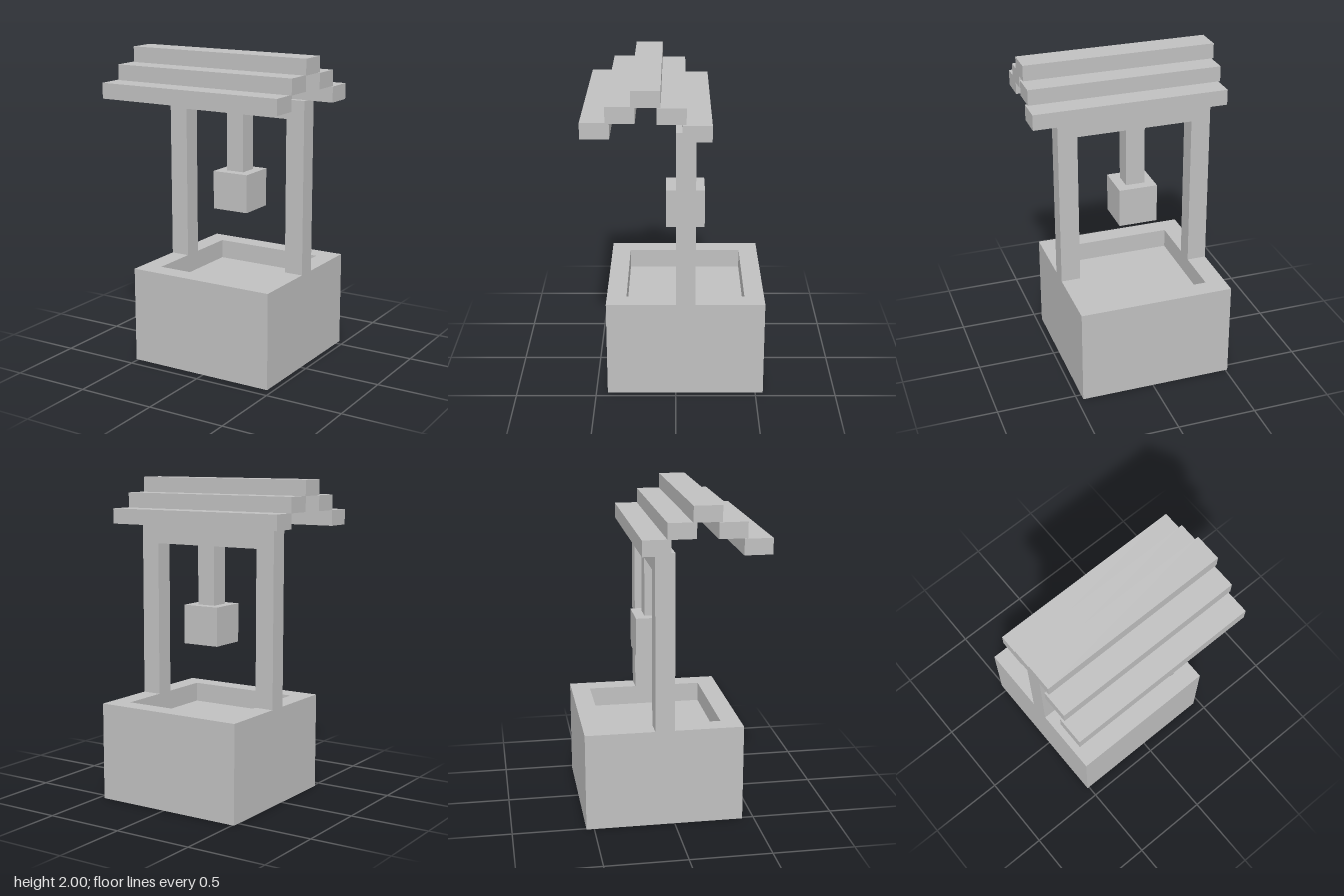
import * as THREE from 'three';

export function createModel() {
  const model = new THREE.Group();
  model.name = 'well';
  const grey = new THREE.MeshStandardMaterial({ color: 0xc0c0c0 });
  grey.name = 'plain grey';

  // Box given by its extents on each axis
  function box(name, [x0, x1], [y0, y1], [z0, z1], parent = model) {
    const mesh = new THREE.Mesh(new THREE.BoxGeometry(x1 - x0, y1 - y0, z1 - z0), grey);
    mesh.position.set((x0 + x1) / 2, (y0 + y1) / 2, (z0 + z1) / 2);
    mesh.name = name;
    parent.add(mesh);
  }

  // Basin: a square ring of wall around a sunken floor
  const centreX = -0.025, centreZ = -0.06, half = 0.488, inner = 0.366;
  const wallTop = 0.613, floorTop = 0.49;
  const square = (path, r) => path.moveTo(-r, -r).lineTo(r, -r).lineTo(r, r).lineTo(-r, r).closePath();
  const basin = new THREE.Group();
  basin.name = 'basin';
  model.add(basin);
  const outline = square(new THREE.Shape(), half);
  outline.holes.push(square(new THREE.Path(), inner));
  const rim = new THREE.Mesh(
    new THREE.ExtrudeGeometry(outline, { depth: wallTop - floorTop, bevelEnabled: false }), grey);
  rim.name = 'basinRim';
  rim.rotation.x = -Math.PI / 2;
  rim.position.set(centreX, floorTop, centreZ);
  basin.add(rim);
  box('basinBase', [centreX - half, centreX + half], [0, floorTop],
    [centreZ - half, centreZ + half], basin);

  // Frame: two posts and a crossbeam
  const frameZ = [-0.12, 0];
  box('rightPost', [centreX - half, centreX - inner], [wallTop, 1.59], frameZ);
  box('leftPost', [centreX + inner, centreX + half], [wallTop, 1.59], frameZ);
  box('crossbeam', [centreX - half, centreX + half], [1.59, 1.71], frameZ);

  // Hanging rope and bucket
  box('rope', [-0.086, 0.034], [1.222, 1.59], frameZ);
  box('bucket', [-0.147, 0.097], [0.978, 1.222], [-0.182, 0.062]);

  // Roof: five stepped planks, each shifted slightly sideways
  const roof = new THREE.Group();
  roof.name = 'roof';
  model.add(roof);
  const plankHeight = 0.097;
  for (let i = 0; i < 5; i++) {
    const y = 1.709 + (2 - Math.abs(i - 2)) * plankHeight;
    const x = 0.024 - i * 0.0124;
    const z = -0.123 + i * 0.1465;
    box('roofPlank', [x - 0.609, x + 0.609], [y, y + plankHeight], [z - 0.085, z + 0.085], roof);
  }
  return model;
}
